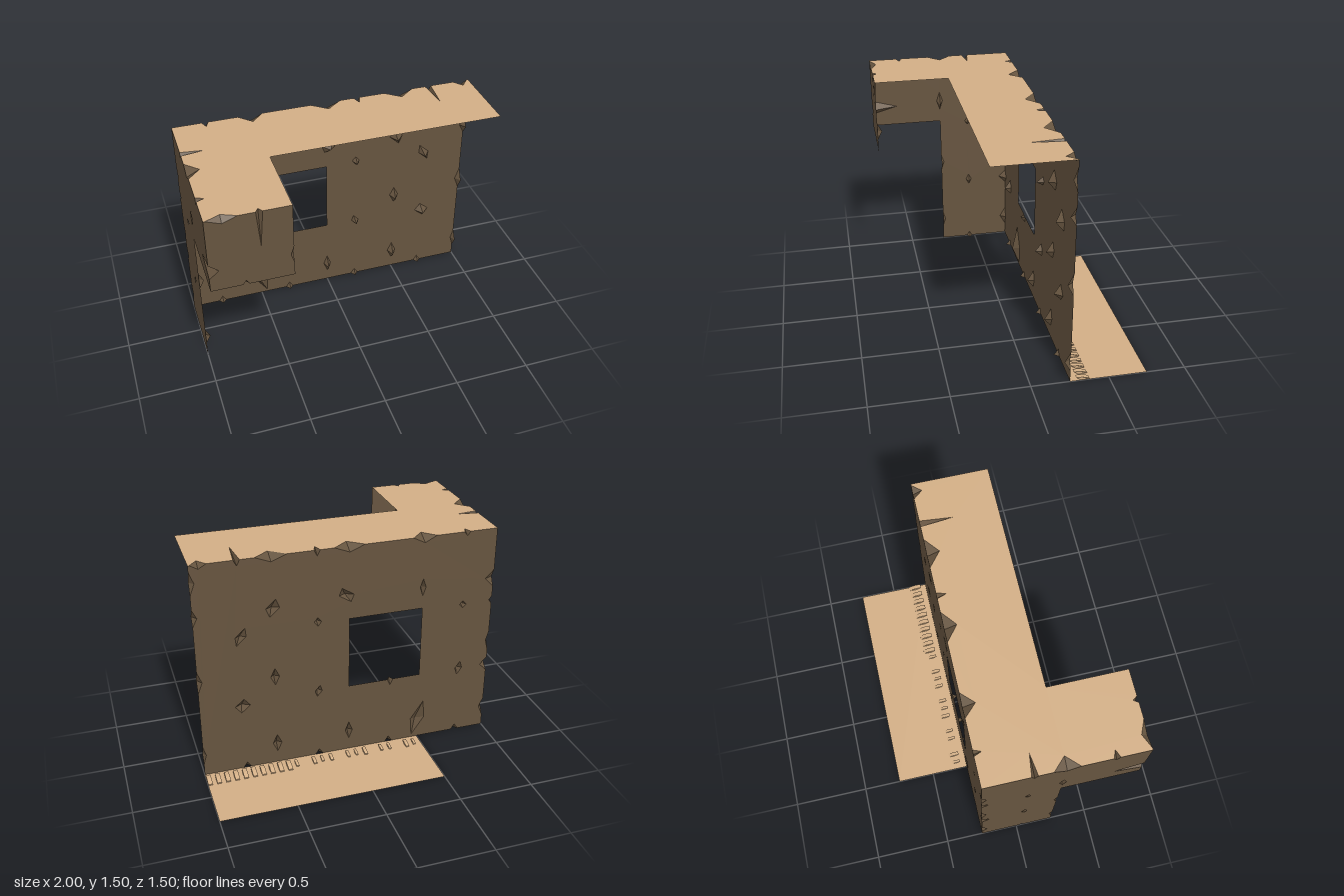
import * as THREE from 'three';

const wallMat = new THREE.MeshStandardMaterial({ color: 0x66543f, side: THREE.DoubleSide, flatShading: true });
const sandMat = new THREE.MeshStandardMaterial({ color: 0xd2ae85, side: THREE.DoubleSide, flatShading: true });
const V2 = (x, y) => new THREE.Vector2(x, y);

function triangles(points) {
  const g = new THREE.BufferGeometry().setFromPoints(points);
  g.computeVertexNormals();
  return g;
}

// The same chips as met by the neighbouring panel, which leaves the facets to the first one
const shared = (chips) => chips.map(([c, w, a, b]) => [c, w, b, a, true]);

// A thin plate with chipped edges, dents and an optional opening.
// at(u, v, d) places a point, d being the depth inward from the plate.
// Edge chip: [position along edge, half width, depth in plate, depth inward]
// Dent: [u, v, half width, half height, lean, depth]
function panel(name, material, at, corners, edgeChips, dents = [], opening = null, openingChips = []) {
  const facets = [];

  function outline(points, chipLists) {
    const out = [];
    points.forEach(([u0, v0], i) => {
      const [u1, v1] = points[(i + 1) % points.length];
      const du = Math.sign(u1 - u0), dv = Math.sign(v1 - v0);
      const start = du ? u0 : v0, dir = du || dv;
      out.push(V2(u0, v0));
      const list = [...(chipLists[i] || [])].sort((a, b) => (a[0] - b[0]) * dir);
      for (const [c, w, depth, inward, skip] of list) {
        const p = (s, n) => V2(u0 + du * s - dv * n, v0 + dv * s + du * n);
        const s = (c - start) * dir;
        const a = p(s - w, 0), m = p(s, depth), b = p(s + w, 0), e = p(s, 0);
        out.push(a, m, b);
        if (skip) continue;
        const q = at(e.x, e.y, inward);
        const [A, M, B] = [a, m, b].map((k) => at(k.x, k.y, 0));
        facets.push(A, M, q, M, B, q);
      }
    });
    return out;
  }

  const shape = new THREE.Shape(outline(corners, edgeChips));
  if (opening) shape.holes.push(new THREE.Path(outline(opening, openingChips)));
  for (const [u, v, w, h, lean = 0, depth = 0.045] of dents) {
    const ring = [V2(u + lean, v + h), V2(u - w, v), V2(u - lean, v - h), V2(u + w, v)];
    shape.holes.push(new THREE.Path(ring));
    const tip = at(u, v - h * 0.2, depth);
    ring.forEach((r, i) => {
      const n = ring[(i + 1) % 4];
      facets.push(at(r.x, r.y, 0), at(n.x, n.y, 0), tip);
    });
  }

  const plate = new THREE.ShapeGeometry(shape);
  const pos = plate.attributes.position;
  for (let i = 0; i < pos.count; i++) {
    const p = at(pos.getX(i), pos.getY(i), 0);
    pos.setXYZ(i, p.x, p.y, p.z);
  }
  plate.computeVertexNormals();
  const group = new THREE.Group();
  group.name = name;
  const face = new THREE.Mesh(plate, material);
  face.name = name + 'Face';
  group.add(face);
  if (facets.length) {
    const chips = new THREE.Mesh(triangles(facets), material);
    chips.name = name + 'Chips';
    group.add(chips);
  }
  return group;
}

export function createModel() {
  const model = new THREE.Group();
  model.name = 'ruinedWall';
  const P = (x, y, z) => new THREE.Vector3(x, y, z);

  // Chips on edges shared by two plates
  const wallTop = [[-0.79, 0.02, 0.03, 0.05], [-0.5, 0.08, 0.04, 0.08], [0, 0.1, 0.04, 0.08],
    [0.21, 0.02, 0.04, 0.06], [0.5, 0.1, 0.04, 0.08], [0.71, 0.02, 0.04, 0.21], [0.94, 0.05, 0.03, 0.06]];
  const wallCorner = [[0.15, 0.07, 0.03, 0.04], [0.5, 0.05, 0.05, 0.05], [0.68, 0.07, 0.02, 0.03],
    [0.99, 0.03, 0.02, 0.05], [1.15, 0.06, 0.06, 0.03]];
  const sideTop = [[0.06, 0.02, 0.04, 0.14], [0.25, 0.08, 0.04, 0.08], [0.54, 0.02, 0.04, 0.05]];
  const frontTop = [[-0.69, 0.02, 0.24, 0.03], [-0.9, 0.09, 0.035, 0.04]];
  const frontCorner = [[1.14, 0.05, 0.06, 0.18]];

  // Back wall with the window
  model.add(panel('backWall', wallMat, (x, y, d) => P(x, y, -0.25 + d),
    [[-1, 0], [1, 0], [1, 1.5], [-1, 1.5]],
    [
      [-0.79, -0.29, 0.21, 0.71].map((x) => [x, 0.025, 0.04, 0.03]),
      [[0.15, 0.07, 0.02, 0.04], [0.7, 0.08, 0.03, 0.04], [1.15, 0.06, 0.03, 0.04], [1.38, 0.08, 0.03, 0.03]],
      wallTop, wallCorner,
    ],
    [
      [-0.79, 0.5, 0.025, 0.05, -0.01], [-0.5, 0.15, 0.05, 0.13, -0.04], [0, 0.15, 0.025, 0.065],
      [0.5, 0.15, 0.03, 0.065], [0.21, 0.5, 0.025, 0.04, -0.01], [0.5, 0.66, 0.03, 0.06],
      [0.72, 0.48, 0.05, 0.05, -0.01], [0.5, 1.15, 0.045, 0.06, -0.02], [0.71, 0.98, 0.035, 0.06, -0.03],
      [0.21, 1.01, 0.025, 0.03], [-0.5, 1.15, 0.02, 0.06], [0.02, 1.17, 0.05, 0.05, 0.03],
      [-0.79, 0.985, 0.025, 0.025],
    ],
    [[-0.5, 0.5], [-0.5, 1], [0, 1], [0, 0.5]],
    [[], [], [], [[-0.29, 0.02, 0.045, 0.035]]]));

  // L-shaped side wall
  model.add(panel('sideWall', wallMat, (z, y, d) => P(-1 + d, y, z),
    [[-0.25, 0], [0.25, 0], [0.25, 1], [0.75, 1], [0.75, 1.5], [-0.25, 1.5]],
    [
      [[0.04, 0.02, 0.035, 0.03]],
      [[0.17, 0.06, 0.02, 0.03], [0.66, 0.06, 0.02, 0.03]],
      [], shared(frontCorner), sideTop, shared(wallCorner),
    ],
    [[0.04, 0.5, 0.02, 0.04], [0.045, 0.985, 0.02, 0.025], [0.25, 1.16, 0.022, 0.065]]));

  // Short hanging panel at the front of the overhang
  model.add(panel('frontPanel', wallMat, (x, y, d) => P(x, y, 0.75 - d),
    [[-1, 1], [-0.5, 1], [-0.5, 1.5], [-1, 1.5]],
    [[[-0.79, 0.02, 0.03, 0.03]], [[1.15, 0.06, 0.02, 0.03]], frontTop, frontCorner]));

  // L-shaped roof
  model.add(panel('roof', sandMat, (x, z, d) => P(x, 1.5 - d, z),
    [[-1, -0.25], [1, -0.25], [1, 0.25], [-0.5, 0.25], [-0.5, 0.75], [-1, 0.75]],
    [shared(wallTop), [], [], [], shared(frontTop), shared(sideTop)]));

  // Ground strip behind the wall
  model.add(panel('groundStrip', sandMat, (x, z, d) => P(x, d, z),
    [[-0.5, -0.75], [1, -0.75], [1, -0.25], [-0.5, -0.25]], []));

  // Raised lip with a row of teeth, worn away toward one end
  const lip = [];
  const quad = (a, b, c, d) => lip.push(a, b, c, a, c, d);
  const step = 0.06;
  for (let i = 0; i < 25; i++) {
    const x = 1 - i * step, worn = i > 9;
    const wear = worn ? Math.abs(Math.sin(i * 2.3)) : 0;
    if (worn && wear < 0.35) continue;
    const l = x - step * 0.5 * (1 - wear * 0.4), tip = -0.375 + wear * 0.03, h = 0.022 - wear * 0.008;
    quad(P(l, h, -0.33), P(x, h, -0.33), P(x, 0.008, tip), P(l, 0.008, tip));
    quad(P(l, 0.008, tip), P(x, 0.008, tip), P(x, 0, tip), P(l, 0, tip));
    quad(P(l, h, -0.29), P(x, h, -0.29), P(x, h, -0.33), P(l, h, -0.33));
    for (const e of [l, x]) quad(P(e, h, -0.29), P(e, h, -0.33), P(e, 0.002, tip), P(e, 0.002, -0.32));
  }
  const teeth = new THREE.Mesh(triangles(lip), sandMat);
  teeth.name = 'groundTeeth';
  model.add(teeth);

  return model;
}
